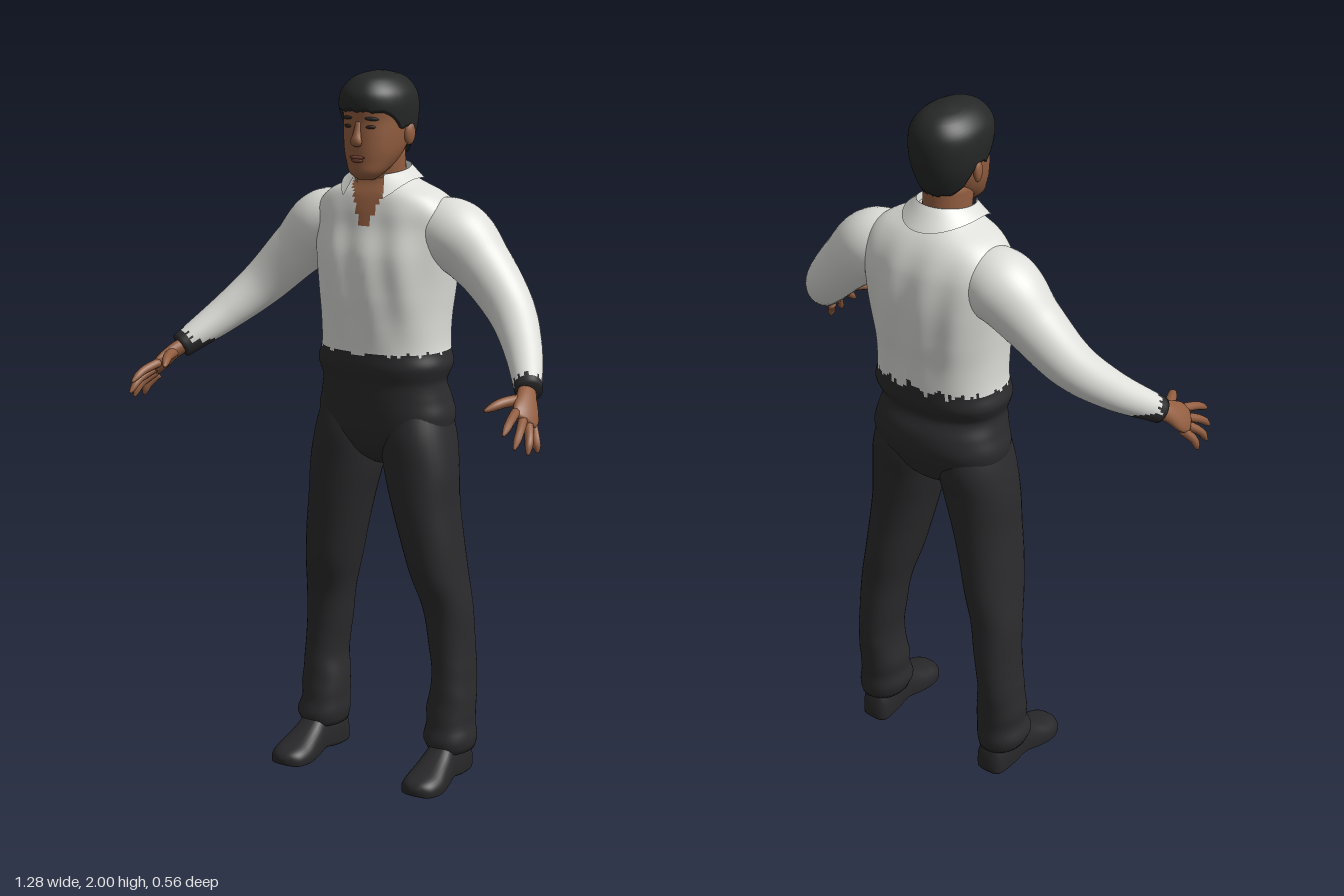
import * as THREE from 'three';

const V = (x, y, z) => new THREE.Vector3(x, y, z);
const paint = (name, color, side = THREE.FrontSide) => {
  const m = new THREE.MeshStandardMaterial({ color, side });
  m.name = name;
  return m;
};

// Smooth lookup in a table whose first column is the key
function sample(table, k) {
  const n = table.length;
  k = Math.min(Math.max(k, table[0][0]), table[n - 1][0]);
  let i = 0;
  while (i < n - 2 && k > table[i + 1][0]) i++;
  const slope = (j, c) => {
    const a = table[Math.max(j - 1, 0)], b = table[Math.min(j + 1, n - 1)];
    return (b[c] - a[c]) / (b[0] - a[0]);
  };
  const p = table[i], q = table[i + 1], h = q[0] - p[0], t = (k - p[0]) / h;
  return p.map((v, c) => c === 0 ? k :
    v * (1 + 2 * t) * (1 - t) ** 2 + q[c] * t * t * (3 - 2 * t) +
    h * (slope(i, c) * t * (1 - t) ** 2 + slope(i + 1, c) * t * t * (t - 1)));
}

// Smooth surface through rings of points; pick() chooses the material of each cell
function loft(name, rows, segs, point, mats, pick = () => 0, open = false) {
  const list = [].concat(mats), pos = [], faces = list.map(() => []);
  const cols = open ? segs + 1 : segs;
  for (let r = 0; r <= rows; r++)
    for (let s = 0; s < cols; s++) pos.push(...point(r / rows, s / segs * Math.PI * 2).toArray());
  const id = (r, s) => r * cols + (open ? s : s % segs);
  for (let r = 0; r < rows; r++)
    for (let s = 0; s < segs; s++) {
      const a = id(r, s), b = id(r, s + 1), c = id(r + 1, s + 1), d = id(r + 1, s);
      const t = (r + 0.5) / rows, ang = (s + 0.5) / segs * Math.PI * 2;
      faces[pick(t, ang, point(t, ang))].push(a, b, c, a, c, d);
    }
  if (!open) for (const r of [0, rows]) {
    const mid = V(0, 0, 0), m = pos.length / 3;
    for (let s = 0; s < segs; s++) mid.add(V(0, 0, 0).fromArray(pos, id(r, s) * 3));
    pos.push(...mid.divideScalar(segs).toArray());
    const t = r ? 1 : 0;
    for (let s = 0; s < segs; s++)
      faces[pick(t, 0, mid)].push(m, id(r, r ? s : s + 1), id(r, r ? s + 1 : s));
  }
  const g = new THREE.BufferGeometry();
  g.setAttribute('position', new THREE.Float32BufferAttribute(pos, 3));
  g.setIndex(faces.flat());
  let start = 0;
  faces.forEach((f, i) => { g.addGroup(start, f.length, i); start += f.length; });
  g.computeVertexNormals();
  const mesh = new THREE.Mesh(g, Array.isArray(mats) ? mats : list[0]);
  mesh.name = name;
  return mesh;
}

// Tube with varying elliptical section; ref sets the direction of the second radius
function limb(name, points, radii, mats, { ref = V(0, 1, 0), rows = 12, segs = 14, pick } = {}) {
  const curve = new THREE.CatmullRomCurve3(points);
  const table = radii.map((r, i) => [i / (radii.length - 1), ...[].concat(r)]);
  return loft(name, rows, segs, (t, a) => {
    const T = curve.getTangent(t), u = ref.clone().cross(T).normalize(), v = T.clone().cross(u);
    const r = sample(table, t);
    return curve.getPoint(t).addScaledVector(u, r[1] * Math.cos(a)).addScaledVector(v, (r[2] ?? r[1]) * Math.sin(a));
  }, mats, pick);
}

// Horizontal rounded section: half width, front z, back z
const bend = (v, e) => Math.sign(v) * Math.abs(v) ** e;
const section = (y, xc, w, zf, zb, a, e = 1) =>
  V(xc + w * bend(Math.cos(a), e), y, (zf + zb) / 2 - (zf - zb) / 2 * bend(Math.sin(a), e));
const jag = a => 0.5 * Math.sin(a * 13) + 0.35 * Math.sin(a * 29 + 1) + 0.3 * Math.sin(a * 47 + 2);

const TORSO = [ // y, half width, front z, back z
  [.905, .03, -.08, -.15], [.94, .1, -.03, -.2], [1, .185, 0, -.235], [1.05, .203, .008, -.253],
  [1.1, .192, .012, -.25], [1.15, .182, .015, -.232], [1.175, .19, .022, -.245], [1.2, .197, .026, -.255],
  [1.24, .186, .024, -.258], [1.32, .186, .026, -.262], [1.4, .193, .03, -.272], [1.5, .205, .026, -.278],
  [1.58, .215, .005, -.268], [1.63, .205, -.004, -.25], [1.67, .165, -.015, -.225], [1.7, .1, -.03, -.195],
  [1.72, .07, -.035, -.17]];
const LEG = [ // y, centre x, half width, front z, back z
  [.085, .215, .062, -.05, -.2], [.12, .215, .073, -.04, -.205], [.16, .212, .066, -.05, -.203],
  [.2, .212, .068, -.055, -.205], [.3, .215, .059, -.065, -.215], [.4, .205, .063, -.067, -.215],
  [.5, .195, .069, -.058, -.21], [.6, .175, .076, -.025, -.213], [.7, .157, .084, -.01, -.208],
  [.8, .138, .092, -.002, -.208], [.9, .122, .103, 0, -.215], [1, .108, .1, 0, -.23], [1.1, .1, .08, -.02, -.21]];
const SHOE = [ // z, centre x, half width, top y, sole y
  [-.203, .21, .024, .06, .012], [-.19, .21, .04, .1, 0], [-.13, .213, .045, .125, 0], [-.07, .216, .046, .12, .01],
  [-.02, .218, .054, .09, .003], [.03, .22, .06, .065, 0], [.07, .22, .053, .053, .002], [.09, .22, .038, .044, .006],
  [.1, .22, .016, .033, .014]];
const HEAD = [ // y, half width, front z, back z
  [1.713, .025, .012, -.03], [1.73, .046, .032, -.06], [1.76, .065, .035, -.11], [1.79, .077, .036, -.14],
  [1.83, .085, .035, -.17], [1.87, .088, .033, -.185], [1.92, .087, .035, -.185], [1.96, .07, .01, -.16],
  [1.985, .03, -.03, -.1]];
const HAIR = [
  [1.76, .066, .02, -.16], [1.8, .08, .025, -.18], [1.84, .093, .03, -.193], [1.88, .099, .042, -.2],
  [1.92, .1, .05, -.2], [1.95, .092, .045, -.192], [1.98, .066, .02, -.168], [1.994, .04, -.01, -.135],
  [2, .015, -.05, -.1]];
// Height of the hairline from back (-1) to front (1)
const HAIRLINE = [[-1, 1.772], [-.5, 1.79], [-.12, 1.85], [.1, 1.86], [.3, 1.85], [.55, 1.892], [1, 1.905]];

export function createModel() {
  const shirt = paint('white cloth', 0xdededa, THREE.DoubleSide);
  const cloth = paint('charcoal cloth', 0x2b2b2d);
  const skin = paint('skin', 0x935e40);
  const hair = paint('black hair', 0x262727);
  const leather = paint('black leather', 0x28282a);
  const lip = paint('lip', 0x7c4637);
  const dark = paint('dark brown', 0x32211b);

  const model = new THREE.Group();
  model.name = 'standingMan';

  // Torso: trousers below a ragged hem, shirt above, open neck in front
  model.add(loft('torso', 110, 112, (t, a) => {
    const [y, w, zf, zb] = sample(TORSO, .905 + t * .815);
    const p = section(y, 0, w, zf, zb, a, .86);
    const cloak = Math.max(0, Math.sin((y - 1.24) / .44 * Math.PI)) * (y > 1.24 && y < 1.68 ? 1 : 0);
    p.z += .004 * cloak * Math.sin(p.x * 60 + y * 9);
    return p;
  }, [shirt, cloth, skin], (t, a, p) => {
    const back = Math.max(0, Math.sin(a));
    if (p.y < 1.237 + .006 * jag(a) + back * (.012 + .018 * jag(a * 1.3))) return 1;
    return Math.sin(a) < 0 && Math.abs(p.x) < (p.y - 1.56) * .43 ? 2 : 0;
  }));

  // Neck and folded collar
  model.add(loft('neck', 8, 32, (t, a) =>
    section(1.64 + t * .15, 0, .066, -.045 + .03 * t, -.165 + .01 * t, a), skin));
  const FOLD = [[0, 0], [.5, 1], [.62, 1], [1, 2]];
  model.add(loft('collar', 12, 60, (t, a) => {
    const b = .62 + a / (Math.PI * 2) * (Math.PI * 2 - 1.24), f = Math.cos(b);
    const k = sample(FOLD, t)[1], out = Math.max(0, k - 1), up = Math.min(k, 1);
    const top = 1.737 - .012 * f, low = 1.712 - (f > 0 ? .07 : .02) * f * f;
    const y = out > 0 ? top + (low - top) * out : 1.68 + (top - 1.68) * up;
    const r = .07 + .006 * up + .032 * out;
    return V(Math.sin(b) * r, y, -.097 + f * (r + .008 + .014 * out));
  }, shirt, undefined, true));

  // Head and hair
  model.add(loft('head', 40, 48, (t, a) => {
    const [y, w, zf, zb] = sample(HEAD, 1.713 + t * .272);
    return section(y, 0, w, zf, zb, a, .93);
  }, skin));
  model.add(loft('hair', 24, 72, (t, a) => {
    const low = sample(HAIRLINE, -Math.sin(a))[1] + .004 * jag(a);
    const [y, w, zf, zb] = sample(HAIR, low + t * (2 - low));
    return section(y, 0, w, zf, zb, a, .95);
  }, hair));

  // Face details lying on the head surface
  const faceZ = (x, y) => {
    const [, w, zf, zb] = sample(HEAD, y);
    return (zf + zb) / 2 + (zf - zb) / 2 * Math.sqrt(1 - (x / w) ** 2) + .002;
  };
  const bead = (name, mat, x, y, z, sx, sy, sz, ry = 0, rz = 0) => {
    const m = new THREE.Mesh(new THREE.SphereGeometry(1, 16, 10), mat);
    m.name = name;
    m.position.set(x, y, z);
    m.scale.set(sx, sy, sz);
    m.rotation.set(0, ry, rz);
    model.add(m);
  };
  model.add(limb('nose', [V(0, 1.87, .03), V(0, 1.84, .038), V(0, 1.818, .042), V(0, 1.808, .036)],
    [[.008, .006], [.011, .009], [.017, .012], [.012, .006]], skin, { ref: V(0, 0, 1) }));
  bead('upperLip', lip, 0, 1.776, faceZ(0, 1.776), .024, .005, .005);
  bead('lowerLip', lip, 0, 1.768, faceZ(0, 1.768), .019, .006, .005);

  for (const s of [1, -1]) {
    const side = s > 0 ? 'left' : 'right';
    const P = (x, y, z) => V(x * s, y, z);
    bead(side + 'Eye', dark, s * .036, 1.858, faceZ(.036, 1.858), .014, .005, .004, s * .35);
    bead(side + 'Brow', hair, s * .038, 1.88, faceZ(.038, 1.88), .02, .005, .004, s * .35, -s * .06);
    bead(side + 'Ear', skin, s * .091, 1.835, -.085, .011, .031, .019, -s * .3);

    // Sleeve with a dark ragged cuff, longest on the underside
    model.add(limb(side + 'Sleeve',
      [P(.12, 1.57, -.13), P(.21, 1.557, -.135), P(.3, 1.483, -.13), P(.4, 1.38, -.1), P(.475, 1.3, -.03), P(.56, 1.208, .09)],
      [.088, .1, .081, .066, .053, .036], [shirt, cloth], {
        rows: 70, segs: 40,
        pick: (t, a) => t > .965 - .09 * Math.max(0, -Math.sin(a)) + .014 * jag(a) ? 1 : 0 }));

    // Hand: palm, four fingers and thumb
    const hand = new THREE.Group();
    hand.name = side + 'Hand';
    model.add(hand);
    hand.add(limb('palm', [P(.55, 1.215, .08), P(.568, 1.195, .115), P(.585, 1.168, .15), P(.595, 1.148, .175)],
      [[.026, .02], [.032, .02], [.043, .018], [.039, .012]], skin, { ref: P(.8, .6, .05), segs: 20 }));
    const fingers = {
      indexFinger: [P(.572, 1.175, .18), P(.585, 1.158, .24), P(.59, 1.135, .28)],
      middleFinger: [P(.588, 1.158, .17), P(.607, 1.13, .226), P(.612, 1.098, .262)],
      ringFinger: [P(.598, 1.143, .16), P(.622, 1.11, .2), P(.63, 1.077, .221)],
      littleFinger: [P(.602, 1.133, .143), P(.624, 1.1, .166), P(.632, 1.073, .172)],
      thumb: [P(.563, 1.195, .12), P(.536, 1.195, .185), P(.51, 1.18, .235)] };
    for (const [name, path] of Object.entries(fingers)) {
      const r = name === 'thumb' ? 1.2 : 1;
      hand.add(limb(name, path, [.013, .0125, .0115, .01, .004].map(v => v * r), skin, { segs: 10 }));
    }

    // Trouser leg with creases near the ankle
    model.add(loft(side + 'TrouserLeg', 70, 36, (t, a) => {
      const [y, xc, w, zf, zb] = sample(LEG, .085 + t * 1.015);
      const crease = 1 + .025 * Math.sin(y * 75 + 2 * Math.cos(a)) * Math.max(0, 1 - y / .4);
      const mid = (zf + zb) / 2, half = (zf - zb) / 2 * crease;
      return section(y, s * xc, w * crease, mid + half, mid - half, a, .92);
    }, cloth));

    // Shoe with flat sole
    model.add(loft(side + 'Shoe', 40, 32, (t, a) => {
      const [z, xc, w, top, sole] = sample(SHOE, -.203 + t * .303);
      const h = Math.sin(a), y = sole + (top - sole) * (h > 0 ? .35 + .65 * h : .35 * (1 - Math.abs(h) ** .3));
      return V(s * xc + w * bend(Math.cos(a), .7), Math.max(0, y), z);
    }, leather));
  }
  return model;
}
